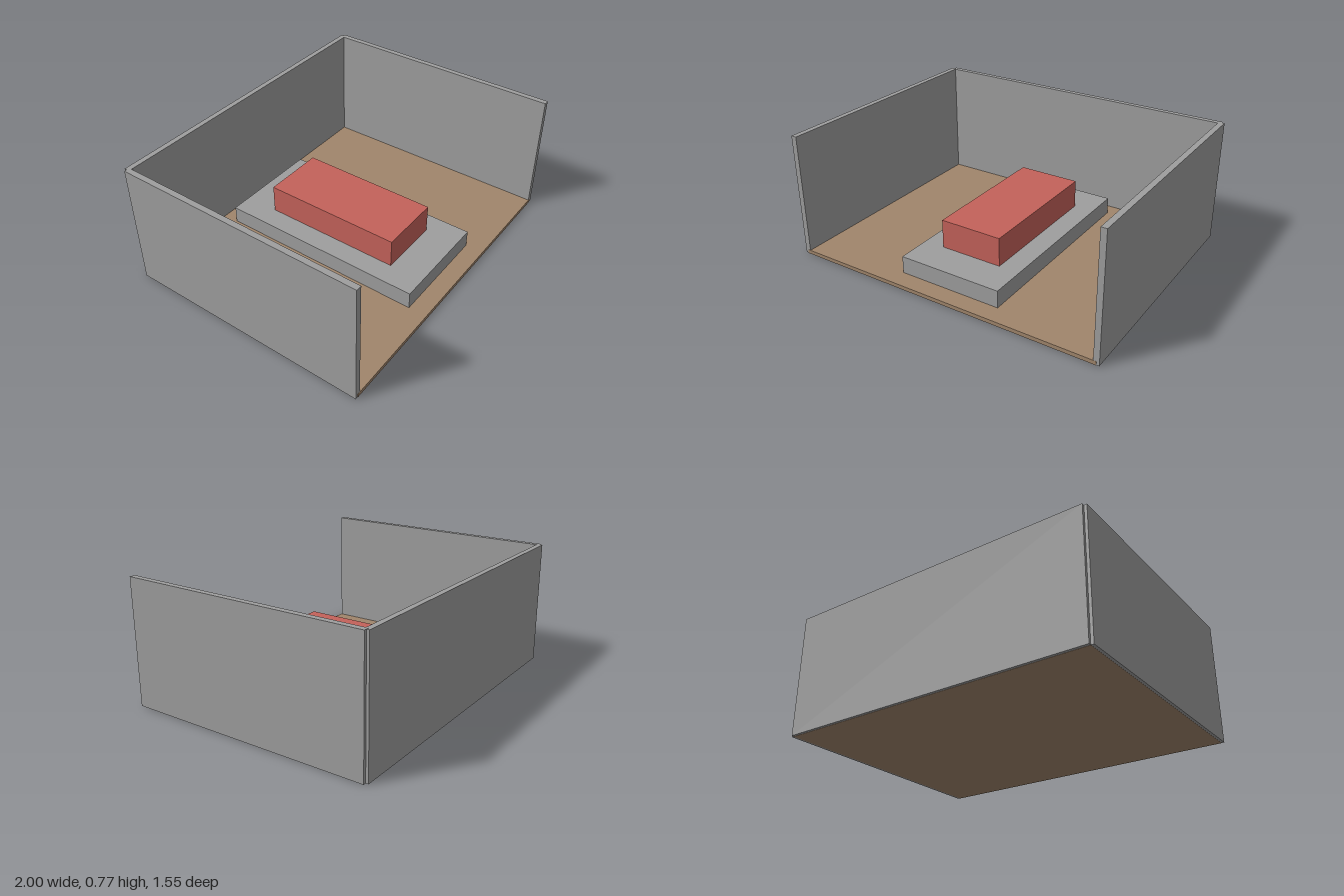
import * as THREE from 'three';

export function createModel() {
  const model = new THREE.Group();
  model.name = 'openRoom';

  const material = (name, color) => {
    const m = new THREE.MeshStandardMaterial({ color });
    m.name = name;
    return m;
  };
  const grey = material('concreteGrey', 0x9e9e9e);
  const brown = material('floorBrown', 0xa0856b);
  const red = material('blockRed', 0xc4625a);

  // Box given by its minimum and maximum along each axis
  const box = (name, mat, [x0, x1], [y0, y1], [z0, z1]) => {
    const mesh = new THREE.Mesh(new THREE.BoxGeometry(x1 - x0, y1 - y0, z1 - z0), mat);
    mesh.name = name;
    mesh.position.set((x0 + x1) / 2, (y0 + y1) / 2, (z0 + z1) / 2);
    model.add(mesh);
  };

  // Floor slab, a hair proud of the walls at the front and underneath
  box('floor', brown, [-0.983, 0.983], [0, 0.024], [-0.757, 0.772]);

  // Three walls, open at the front; the back wall steps out behind the side walls
  box('leftWall', grey, [0.965, 1], [0.001, 0.766], [-0.757, 0.771]);
  box('rightWall', grey, [-1, -0.965], [0.001, 0.766], [-0.757, 0.771]);
  box('backWall', grey, [-0.983, 0.983], [0.001, 0.7655], [-0.773, -0.74]);

  // Low platform with a block resting on it
  box('platform', grey, [-0.328, 0.328], [0.002, 0.131], [-0.646, 0.658]);
  box('block', red, [-0.197, 0.197], [0.131, 0.309], [-0.43, 0.444]);

  return model;
}
